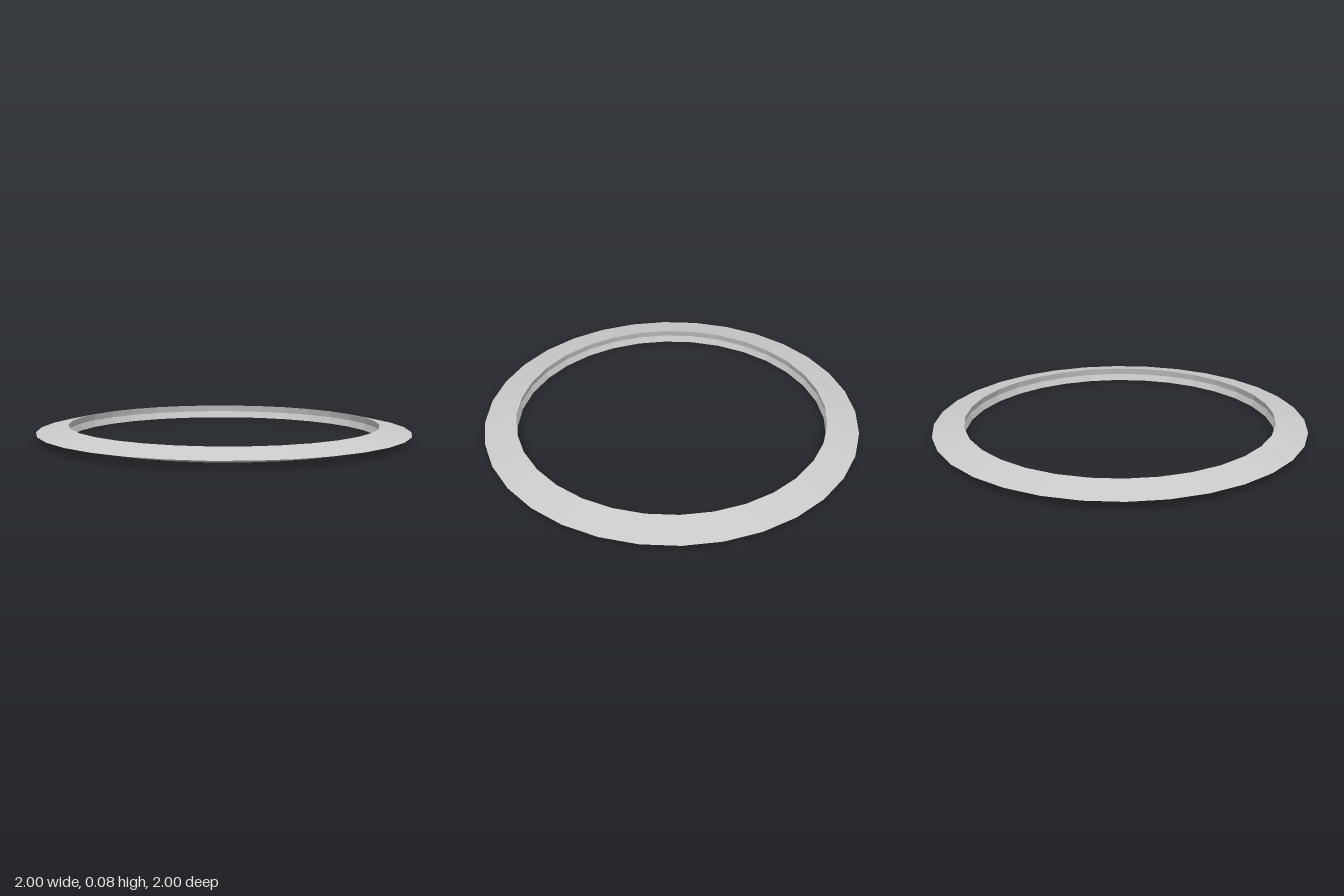
import * as THREE from 'three';

export function createModel() {
  const model = new THREE.Group();
  const material = new THREE.MeshStandardMaterial({ color: 0xcccccc, flatShading: true });

  // Closed cross-section: sharp outer rim, bevelled faces, shallow groove inside
  const inner = 0.83, outer = 1, half = 0.037, groove = 0.01;
  const profile = [
    [inner, -half], [outer, 0], [inner, half], [inner + groove, 0], [inner, -half],
  ].map(([r, y]) => new THREE.Vector2(r, y));

  const ring = new THREE.Mesh(new THREE.LatheGeometry(profile, 32), material);
  ring.name = 'ring';

  // The ring leans back very slightly
  const tilt = 0.004;
  ring.rotation.x = -tilt;
  ring.position.y = half + inner * tilt;
  model.add(ring);
  return model;
}
